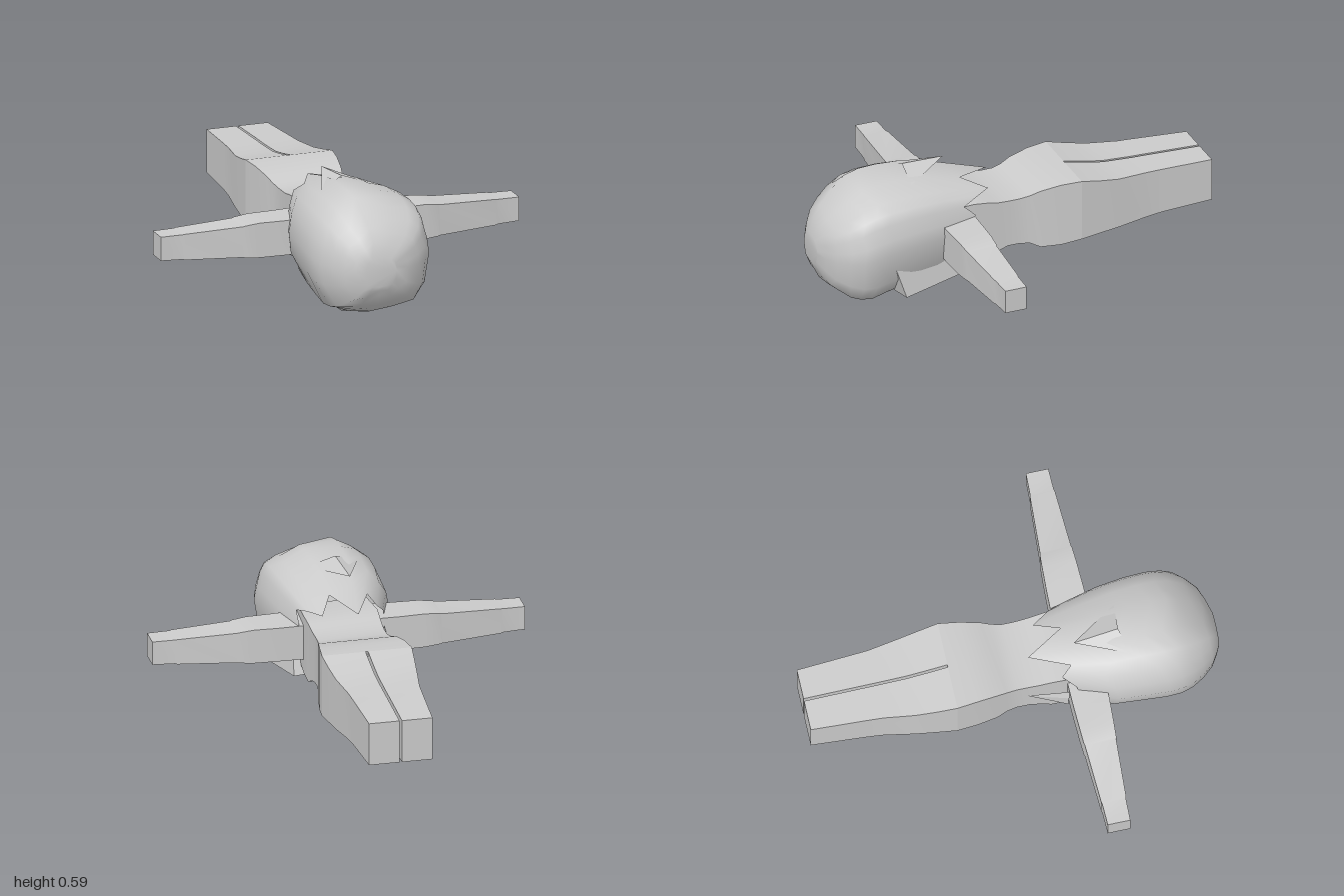
import * as THREE from 'three';
import { toCreasedNormals } from 'three/addons/utils/BufferGeometryUtils.js';

const material = new THREE.MeshStandardMaterial({ color: 0xcccccc });
const thinMaterial = new THREE.MeshStandardMaterial({ color: 0xcccccc, side: THREE.DoubleSide });

// Skin equal-length rings of [x, y, z], anticlockwise, running towards +z
function loft(rings, capStart = true) {
  const n = rings[0].length, last = (rings.length - 1) * n, index = [];
  for (let i = 0; i < rings.length - 1; i++) {
    for (let j = 0; j < n; j++) {
      const a = i * n + j, b = i * n + (j + 1) % n;
      index.push(a, b, b + n, a, b + n, a + n);
    }
  }
  for (let j = 1; j < n - 1; j++) {
    if (capStart) index.push(0, j + 1, j);
    index.push(last, last + j, last + j + 1);
  }
  const g = new THREE.BufferGeometry();
  g.setAttribute('position', new THREE.Float32BufferAttribute(rings.flat(2), 3));
  g.setIndex(index);
  g.computeVertexNormals();
  return g;
}

const rect = (z, x0, x1, y0, y1) => [[x0, y0, z], [x1, y0, z], [x1, y1, z], [x0, y1, z]];

// Linear look-up in rows sorted by their first value
function sample(rows, t) {
  let i = 0;
  while (i < rows.length - 2 && t > rows[i + 1][0]) i++;
  const a = rows[i], b = rows[i + 1];
  const f = THREE.MathUtils.clamp((t - a[0]) / (b[0] - a[0]), 0, 1);
  return a.map((v, k) => v + (b[k] - v) * f);
}

export function createModel() {
  const model = new THREE.Group();
  const add = (name, geometry, mat = material) => {
    const mesh = new THREE.Mesh(geometry, mat);
    mesh.name = name;
    model.add(mesh);
    return mesh;
  };
  const creased = (rings) => toCreasedNormals(loft(rings), 0.6);

  // Torso and hips: z, half width, bottom, top
  const torso = [
    [-0.3, 0.22, 0.155, 0.465], [-0.2, 0.207, 0.14, 0.46], [-0.1, 0.19, 0.14, 0.44],
    [-0.05, 0.178, 0.165, 0.42], [0, 0.17, 0.17, 0.41], [0.06, 0.17, 0.17, 0.41],
    [0.11, 0.172, 0.155, 0.413], [0.17, 0.175, 0.125, 0.425], [0.24, 0.18, 0.14, 0.435],
    [0.42, 0.17, 0.17, 0.42],
  ];
  add('torso', creased(torso.map(([z, w, b, t]) => rect(z, -w, w, b, t))));

  // Legs, parted by a narrow gap
  const leg = [
    [-1, 0.155, 0.19, 0.405], [-0.73, 0.17, 0.185, 0.415], [-0.65, 0.175, 0.178, 0.417],
    [-0.5, 0.198, 0.167, 0.425], [-0.4, 0.21, 0.162, 0.443], [-0.3, 0.22, 0.155, 0.465],
  ];
  for (const [side, name] of [[1, 'leftLeg'], [-1, 'rightLeg']]) {
    add(name, creased(leg.map(([z, w, b, t]) =>
      side > 0 ? rect(z, 0.006, w, b, t) : rect(z, -w, -0.006, b, t))));
  }

  // Arms: distance from centre, half depth, bottom, top; small steps at the cuffs
  const arm = [
    [0.12, 0.092, 0.21, 0.385], [0.3, 0.088, 0.21, 0.382], [0.42, 0.083, 0.21, 0.382],
    [0.49, 0.079, 0.216, 0.374], [0.5, 0.076, 0.218, 0.371], [0.79, 0.061, 0.233, 0.361],
    [0.8, 0.058, 0.236, 0.359], [0.91, 0.055, 0.24, 0.358],
  ];
  for (const [side, name] of [[1, 'leftArm'], [-1, 'rightArm']]) {
    const mesh = add(name, creased(arm.map(([d, w, b, t]) => rect(d, -w, w, b, t))));
    mesh.rotation.y = side * Math.PI / 2;
    mesh.position.z = 0.335;
  }

  // Head: a turned block, narrowing and leaning forward towards the back of the skull
  const headGeometry = new THREE.BoxGeometry(0.37, 0.36, 0.36);
  const p = headGeometry.attributes.position;
  for (let i = 0; i < p.count; i++) {
    if (p.getY(i) > 0) {
      p.setX(i, p.getX(i) * 0.7);
      p.setZ(i, p.getZ(i) * 0.8 + 0.1);
    }
  }
  headGeometry.computeVertexNormals();
  const head = add('head', headGeometry);
  head.position.set(0.075, 0.265, 0.52);
  head.rotation.set(0.1, 0.22, 0);

  // Hair envelope: z, left edge, right edge, bottom, top
  const envelope = [
    [0.08, -0.165, 0.165, 0.2, 0.49], [0.3, -0.235, 0.225, 0.13, 0.55],
    [0.45, -0.29, 0.265, 0.075, 0.59], [0.6, -0.298, 0.288, 0.055, 0.603],
    [0.72, -0.3, 0.296, 0.03, 0.6], [0.79, -0.288, 0.293, 0.008, 0.588],
    [0.87, -0.258, 0.275, 0.03, 0.53], [0.96, -0.18, 0.18, 0.1, 0.44],
    [1, -0.1, 0.06, 0.19, 0.34],
  ];
  // Outline and ragged rear edge: x and y from -1 to 1, z where the strand ends
  const strands = [
    [1, 0, 0.3], [0.97, 0.25, 0.24], [0.9, 0.5, 0.3], [0.82, 0.67, 0.22], [0.62, 0.78, 0.14],
    [0.25, 0.92, 0.26], [-0.3, 1, 0.08], [-0.6, 0.82, 0.27], [-0.82, 0.65, 0.22],
    [-0.94, 0.35, 0.28], [-1, 0, 0.3], [-0.94, -0.4, 0.27], [-0.78, -0.83, 0.42],
    [-0.5, -0.94, 0.62], [-0.12, -1, 0.7], [0.3, -0.95, 0.6], [0.7, -0.86, 0.45],
    [0.92, -0.55, 0.27],
  ];
  const onHair = (px, py, z) => {
    const [, x0, x1, y0, y1] = sample(envelope, z);
    return [(x0 + x1) / 2 + px * (x1 - x0) / 2, (y0 + y1) / 2 + py * (y1 - y0) / 2, z];
  };
  const levels = [0, 0.25, 0.45, 0.6, 0.7, 0.78, 0.86, 0.93, 0.97, 1];
  add('hair', loft(levels.map((f) =>
    strands.map(([px, py, rear]) => onHair(px, py, rear + (1 - rear) * f))), false), thinMaterial);

  // Loose locks: a tip and a two-cornered root
  const locks = [
    ['topLock', [-0.06, 0.592, 0.3], [-0.16, 0.56, 0.56], [0.1, 0.56, 0.53], [-0.04, 0.607, 0.52]],
    ['sideLock', [-0.17, 0.3, 0.05], [-0.225, 0.22, 0.24], [-0.22, 0.36, 0.28], [-0.225, 0.3, 0.24]],
  ];
  for (const [name, tip, a, b, mid] of locks) {
    const g = new THREE.BufferGeometry();
    g.setAttribute('position', new THREE.Float32BufferAttribute([tip, a, mid, tip, mid, b].flat(), 3));
    g.computeVertexNormals();
    add(name, g, thinMaterial);
  }
  return model;
}
